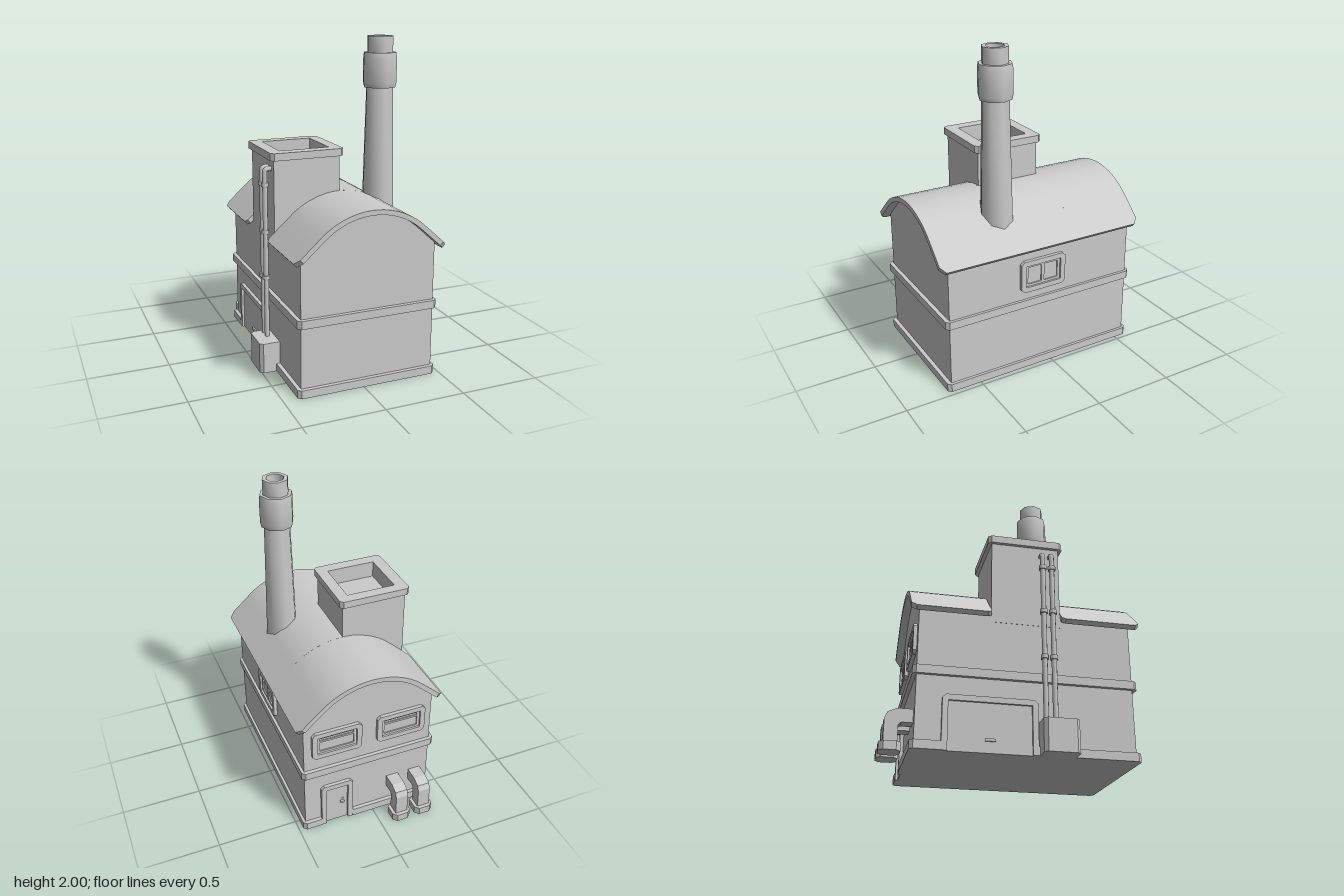
import * as THREE from 'three';
import { toCreasedNormals } from 'three/addons/utils/BufferGeometryUtils.js';

const CX = 0.034;                       // building centre line
const X0 = -0.386, X1 = 0.455, Z0 = -0.566, Z1 = 0.69;
const R = 0.475, A = 0.733, APEX = 1.083, EAVE = 0.558;

export function createModel() {
  const root = new THREE.Group();
  const mat = new THREE.MeshStandardMaterial({ color: 0xcccccc });

  const add = (name, geo, parent = root) => {
    const m = new THREE.Mesh(geo, mat);
    m.name = name;
    parent.add(m);
    return m;
  };
  const box = (name, x0, x1, y0, y1, z0, z1, parent) => {
    const g = new THREE.BoxGeometry(x1 - x0, y1 - y0, z1 - z0);
    g.translate((x0 + x1) / 2, (y0 + y1) / 2, (z0 + z1) / 2);
    return add(name, g, parent);
  };
  const toShape = pts => new THREE.Shape(pts.map(p => new THREE.Vector2(p[0], p[1])));
  // rectangle with cut corners
  const chamfered = (x0, x1, y0, y1, c) => [
    [x0 + c, y0], [x1 - c, y0], [x1, y0 + c], [x1, y1 - c],
    [x1 - c, y1], [x0 + c, y1], [x0, y1 - c], [x0, y0 + c]];
  const extrude = (pts, depth, hole) => {
    const s = toShape(pts);
    if (hole) s.holes.push(toShape(hole));
    return new THREE.ExtrudeGeometry(s, { depth, bevelEnabled: false });
  };
  // plan outline (x, z) raised from y0 to y1
  const slab = (name, pts, y0, y1, hole) =>
    add(name, extrude(pts, y1 - y0, hole).rotateX(Math.PI / 2).translate(0, y1, 0));

  // point on the roof curve at signed arc length s, offset along the normal
  const roofPoint = (s, off) => {
    const a = Math.min(Math.abs(s) / R, A), extra = Math.max(0, Math.abs(s) - R * A);
    const x = (R + off) * Math.sin(a) + extra * Math.cos(A);
    const y = (R + off) * Math.cos(a) - extra * Math.sin(A);
    return [CX + Math.sign(s) * x, APEX - R + y];
  };

  // walls with arched gables
  const wall = [[X0, 0.01], [X1, 0.01]];
  for (let i = 0; i <= 24; i++) {
    const p = roofPoint(0.504 - i * 0.042, -0.02);
    wall.push([Math.min(X1, Math.max(X0, p[0])), p[1]]);
  }
  add('walls', extrude(wall, Z1 - Z0).translate(0, 0, Z0));

  // roof panels: stations are [z, left limit, right limit]
  const roofPanel = (name, stations) => {
    const N = 20, pos = [];
    const rings = stations.map(([z, s0, s1]) => {
      const outer = [], inner = [];
      for (let i = 0; i <= N; i++) {
        const s = s0 + (s1 - s0) * i / N;
        outer.push([...roofPoint(s, 0), z]);
        inner.push([...roofPoint(s, -0.03), z]);
      }
      return [...outer, ...inner.reverse()];
    });
    const quad = (a, b, c, d) => pos.push(...a, ...b, ...c, ...a, ...c, ...d);
    const M = 2 * N + 2;
    for (let i = 0; i + 1 < rings.length; i++)
      for (let j = 0; j < M; j++) {
        const k = (j + 1) % M;
        quad(rings[i][j], rings[i + 1][j], rings[i + 1][k], rings[i][k]);
      }
    const first = rings[0], last = rings[rings.length - 1];
    for (let j = 0; j < N; j++) {
      quad(last[M - 1 - j], last[M - 2 - j], last[j + 1], last[j]);
      quad(first[j], first[j + 1], first[M - 2 - j], first[M - 1 - j]);
    }
    const g = new THREE.BufferGeometry();
    g.setAttribute('position', new THREE.Float32BufferAttribute(pos, 3));
    add(name, toCreasedNormals(g, 0.5));
  };
  const E = EAVE, T = EAVE - 0.04;
  roofPanel('roofBack', [[-0.615, -T, T], [-0.585, -E, E], [-0.17, -E, E], [-0.15, -E + 0.02, E]]);
  roofPanel('roofMiddle', [[-0.15, -0.1, E], [0.27, -0.1, E]]);
  roofPanel('roofFront', [[0.27, -E + 0.02, E], [0.29, -E, E], [0.72, -E, E], [0.75, -T, T]]);

  // plinth with gaps at the doors, and the middle band
  const bx0 = -0.41, bx1 = 0.472, bz0 = -0.59, bz1 = 0.715, c = 0.02;
  slab('plinth', [
    [bx0 + c, bz0], [0.14, bz0], [0.14, Z0], [0.35, Z0], [0.35, bz0], [bx1 - c, bz0],
    [bx1, bz0 + c], [bx1, bz1 - c], [bx1 - c, bz1], [bx0 + c, bz1], [bx0, bz1 - c],
    [bx0, 0.12], [X0, 0.12], [X0, -0.42], [bx0, -0.42], [bx0, bz0 + c]], 0, 0.05);
  slab('middleBand', chamfered(bx0, bx1, bz0, bz1, c), 0.425, 0.475);

  // roof tank: hollow tower, rim and sunken floor
  const hole = [[-0.335, -0.1], [-0.02, -0.1], [-0.02, 0.215], [-0.335, 0.215]];
  slab('tower', [[-0.388, -0.147], [0.03, -0.147], [0.03, 0.267], [-0.388, 0.267]], 0.78, 1.3, hole);
  slab('towerRim', chamfered(-0.41, 0.05, -0.17, 0.29, 0.02), 1.3, 1.345, hole);
  box('towerFloor', -0.35, -0.01, 1.18, 1.24, -0.11, 0.23);

  // chimney, eight sided
  const profile = [[0.104, 0.85], [0.083, 1.7], [0.098, 1.7], [0.105, 1.73], [0.105, 1.875],
    [0.1, 1.905], [0.08, 1.905], [0.08, 2], [0.055, 2], [0.05, 1.88], [0, 1.88]];
  const chimney = new THREE.LatheGeometry(profile.map(p => new THREE.Vector2(...p)), 8);
  add('chimney', toCreasedNormals(chimney.toNonIndexed(), 0.85)).position.set(0.28, 0, 0.28);

  // wall fittings are built facing +z, then turned onto their wall
  const mount = (name, x, y, z, turn) => {
    const g = new THREE.Group();
    g.name = name;
    g.position.set(x, y, z);
    g.rotation.y = turn;
    root.add(g);
    return g;
  };
  const rect = (w, h, k) => chamfered(-w / 2, w / 2, -h / 2, h / 2, k);
  const windowFrame = (g, w, h) => {
    add('windowFrame', extrude(rect(w, h, 0.02), 0.022, rect(w - 0.065, h - 0.065, 0.003)), g);
    add('windowSash', extrude(rect(w - 0.06, h - 0.06, 0.003), 0.01, rect(w - 0.1, h - 0.095, 0.003)), g);
    box('pane', -w / 2 + 0.03, w / 2 - 0.03, -h / 2 + 0.03, h / 2 - 0.03, -0.01, 0.002, g);
  };
  const side = mount('sideWindow', X1, 0.633, 0.065, Math.PI / 2);
  windowFrame(side, 0.306, 0.205);
  box('mullion', -0.01, 0.01, -0.07, 0.07, 0, 0.01, side);
  for (const x of [CX - 0.211, CX + 0.211]) {
    const g = mount('backWindow', x, 0.662, Z0, Math.PI);
    windowFrame(g, 0.32, 0.19);
    box('transom', -0.12, 0.12, 0.018, 0.03, 0, 0.009, g);
  }

  // doors with a surround open at the floor
  const door = (name, x, z, turn, w, h, t) => {
    const g = mount(name, x, 0, z, turn), a = w / 2, b = a - t, k = 0.02;
    add('doorFrame', extrude([[-a, 0], [-b, 0], [-b, h - t], [b, h - t], [b, 0], [a, 0],
      [a, h - k], [a - k, h], [-a + k, h], [-a, h - k]], 0.022), g);
    box('doorLeaf', -b, b, 0, h - t, -0.01, 0.006, g);
    return g;
  };
  const back = door('backDoor', 0.245, Z0, Math.PI, 0.21, 0.315, 0.033);
  box('handlePlate', 0.032, 0.05, 0.13, 0.17, 0, 0.012, back);
  box('handle', 0.022, 0.046, 0.145, 0.157, 0.01, 0.026, back);
  const gate = door('loadingDoor', X0, -0.15, -Math.PI / 2, 0.54, 0.315, 0.033);
  box('gateHandle', -0.03, 0.03, 0.065, 0.08, 0, 0.016, gate);

  // pipes down the side into a box
  slab('pipeBox', [[X0, 0.125], [X0, 0.33], [-0.49, 0.33], [-0.51, 0.31], [-0.51, 0.145], [-0.49, 0.125]], 0, 0.19);
  for (const z of [0.158, 0.213]) {
    const path = new THREE.CurvePath();
    const v = (x, y) => new THREE.Vector3(x, y, z);
    path.add(new THREE.LineCurve3(v(-0.427, 0.17), v(-0.427, 1.225)));
    path.add(new THREE.QuadraticBezierCurve3(v(-0.427, 1.225), v(-0.427, 1.243), v(-0.409, 1.243)));
    path.add(new THREE.LineCurve3(v(-0.409, 1.243), v(-0.38, 1.243)));
    add('drainPipe', new THREE.TubeGeometry(path, 100, 0.016, 8));
    for (const y of [0.572, 0.86, 1.15])
      add('pipeCollar', new THREE.CylinderGeometry(0.024, 0.024, 0.025, 8)).position.set(-0.427, y, z);
  }

  // bent ducts at the back
  for (const x of [-0.295, -0.14]) {
    slab('ductFoot', chamfered(x - 0.06, x + 0.06, -0.745, -0.625, 0.025), 0, 0.05);
    // profile in (-z, y)
    const g = extrude([[0.55, 0.16], [0.63, 0.16], [0.645, 0.145], [0.645, 0.04], [0.722, 0.04],
      [0.722, 0.18], [0.706, 0.215], [0.655, 0.238], [0.55, 0.238]], 0.08);
    add('duct', g.rotateY(Math.PI / 2).translate(x - 0.04, 0, 0));
  }
  return root;
}
